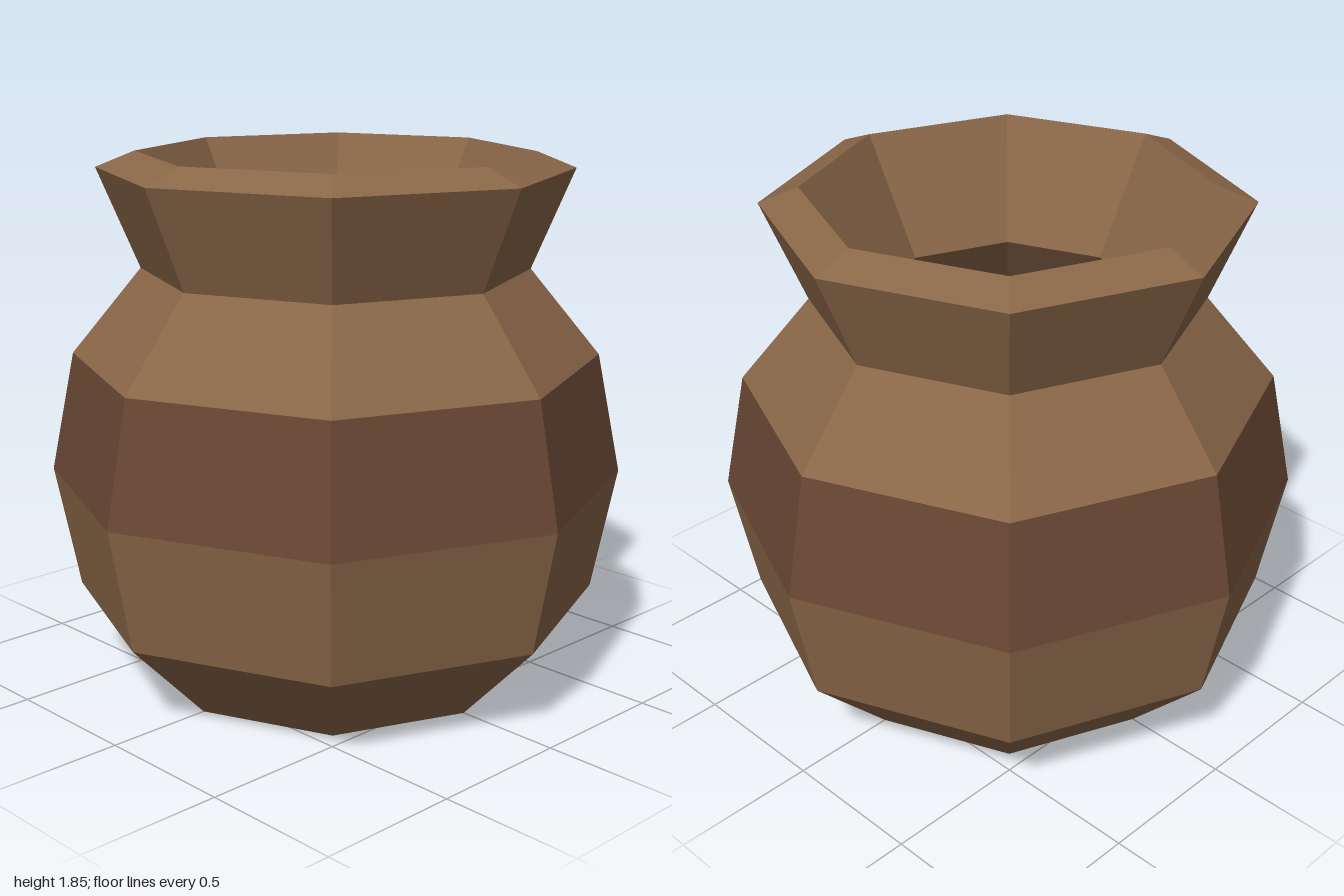
import * as THREE from 'three';

export function createModel() {
  const pot = new THREE.Group();
  pot.name = 'clayPot';

  const clay = new THREE.MeshStandardMaterial({ name: 'clay brown', color: 0x8a6748, flatShading: true });
  const dark = new THREE.MeshStandardMaterial({ name: 'dark band brown', color: 0x6a4833, flatShading: true });

  // Eight-sided ring of facets from a list of [radius, height]
  function ring(name, profile, material) {
    const points = profile.map(([r, y]) => new THREE.Vector2(r, y));
    const mesh = new THREE.Mesh(new THREE.LatheGeometry(points, 8), material);
    mesh.name = name;
    pot.add(mesh);
  }

  // Outer shell, from the ground upwards
  ring('base', [[0, 0], [0.625, 0]], clay);
  ring('lowerBody', [[0.625, 0], [0.915, 0.3], [1, 0.73]], clay);
  ring('bellyBand', [[1, 0.73], [0.915, 1.15]], dark);
  ring('shoulder', [[0.915, 1.15], [0.67, 1.45]], clay);
  ring('neck', [[0.67, 1.45], [0.815, 1.795]], clay);
  ring('rim', [[0.815, 1.795], [0.68, 1.85]], clay);

  // Funnel mouth and hollow inside, from the rim downwards
  ring('mouth', [[0.68, 1.85], [0.46, 1.45]], clay);
  ring('cavity', [[0.46, 1.45], [0.72, 1.12], [0.8, 0.73], [0.72, 0.34], [0.52, 0.14], [0, 0.14]], clay);

  return pot;
}
